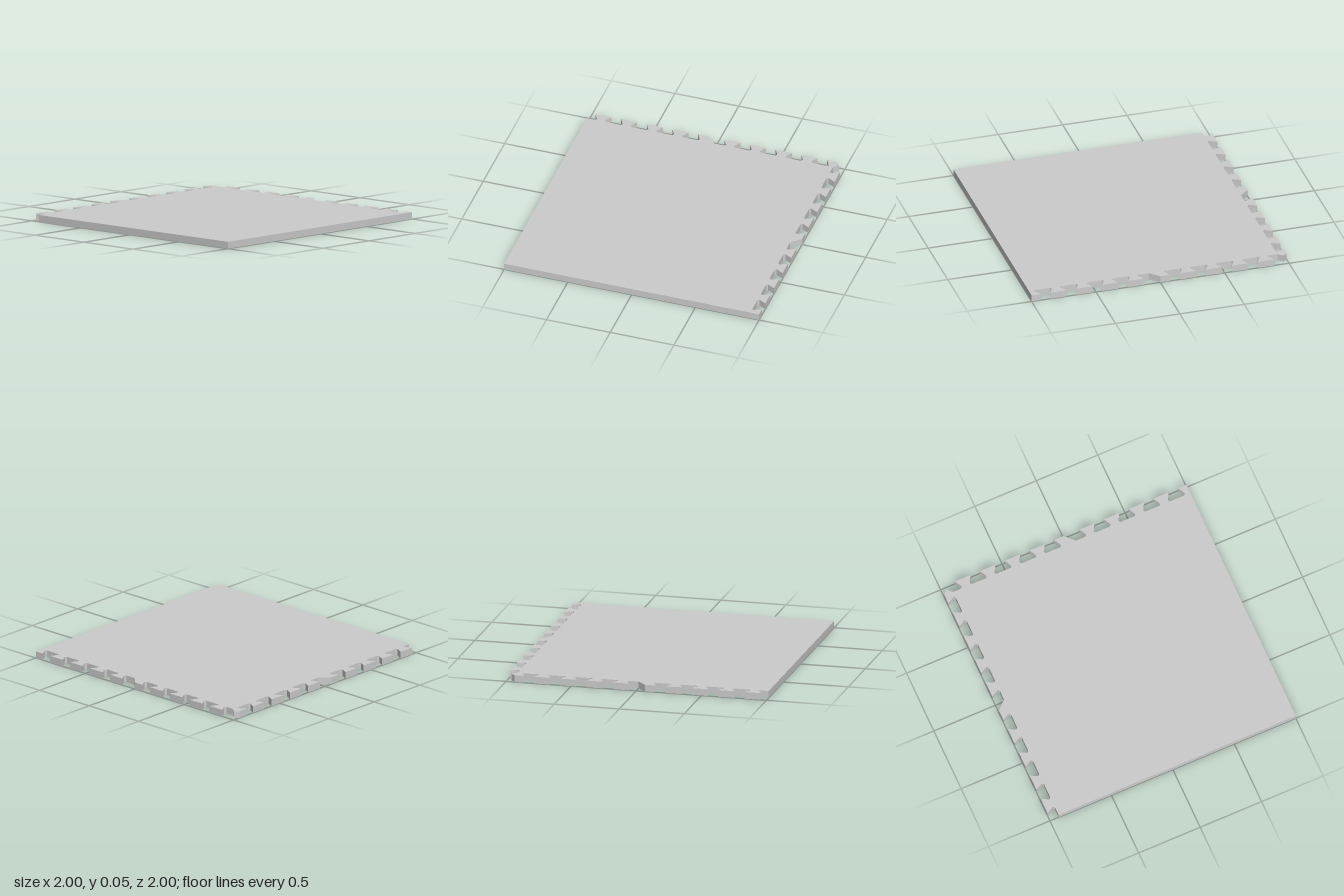
import * as THREE from 'three';

const THICKNESS = 0.052, PITCH = 0.2015, DEPTH = 0.07;
// Half of a dovetail gap: [offset along the edge, depth inwards]
const GAP = [[0.0375, 0], [0.069, 0.057], [0.057, DEPTH]];

// Outline of one dovetail gap, as [position along the edge, depth]
function gap(c) {
  return [
    ...GAP.map(([t, d]) => [c - t, d]),
    ...GAP.map(([t, d]) => [c + t, d]).reverse(),
  ];
}

function gaps(first, count) {
  return Array.from({ length: count }, (_, i) => gap(first + i * PITCH)).flat();
}

export function createModel() {
  // Right edge, running from the front to the back
  const rightEdge = [
    ...gaps(-0.893, 4),
    [-0.127, 0], [-0.159, 0.057], [-0.147, DEPTH], [-0.07, DEPTH], [0, 0],
    ...gaps(0.115, 4),
    [0.885, 0], [0.853, 0.057], [0.865, DEPTH], [0.93, DEPTH],
  ];

  // Back edge, running from the left end to the right end
  const backEdge = [
    [-1, DEPTH], [-0.937, DEPTH], [-0.925, 0.057], [-0.957, 0],
    ...gaps(-0.792, 4),
    [-0.068, 0], [0, DEPTH], [0.075, DEPTH], [0.087, 0.057], [0.055, 0],
    ...gaps(0.219, 4),
    [0.935, 0], [0.965, 0.032],
  ];

  // Complete outline of the tile, counter-clockwise from above
  const outline = [
    [-1, -1], [1, -1],
    ...rightEdge.map(([t, d]) => [1 - d, t]),
    ...backEdge.map(([t, d]) => [t, 1 - d]).reverse(),
  ];
  const shape = new THREE.Shape(outline.map(([x, y]) => new THREE.Vector2(x, y)));
  const geometry = new THREE.ExtrudeGeometry(shape, { depth: THICKNESS, bevelEnabled: false });
  geometry.rotateX(-Math.PI / 2);

  const tile = new THREE.Mesh(
    geometry,
    new THREE.MeshStandardMaterial({ color: 0xcccccc, flatShading: true }),
  );
  tile.name = 'interlockingFloorTile';

  const group = new THREE.Group();
  group.name = 'floorTile';
  group.add(tile);
  return group;
}
